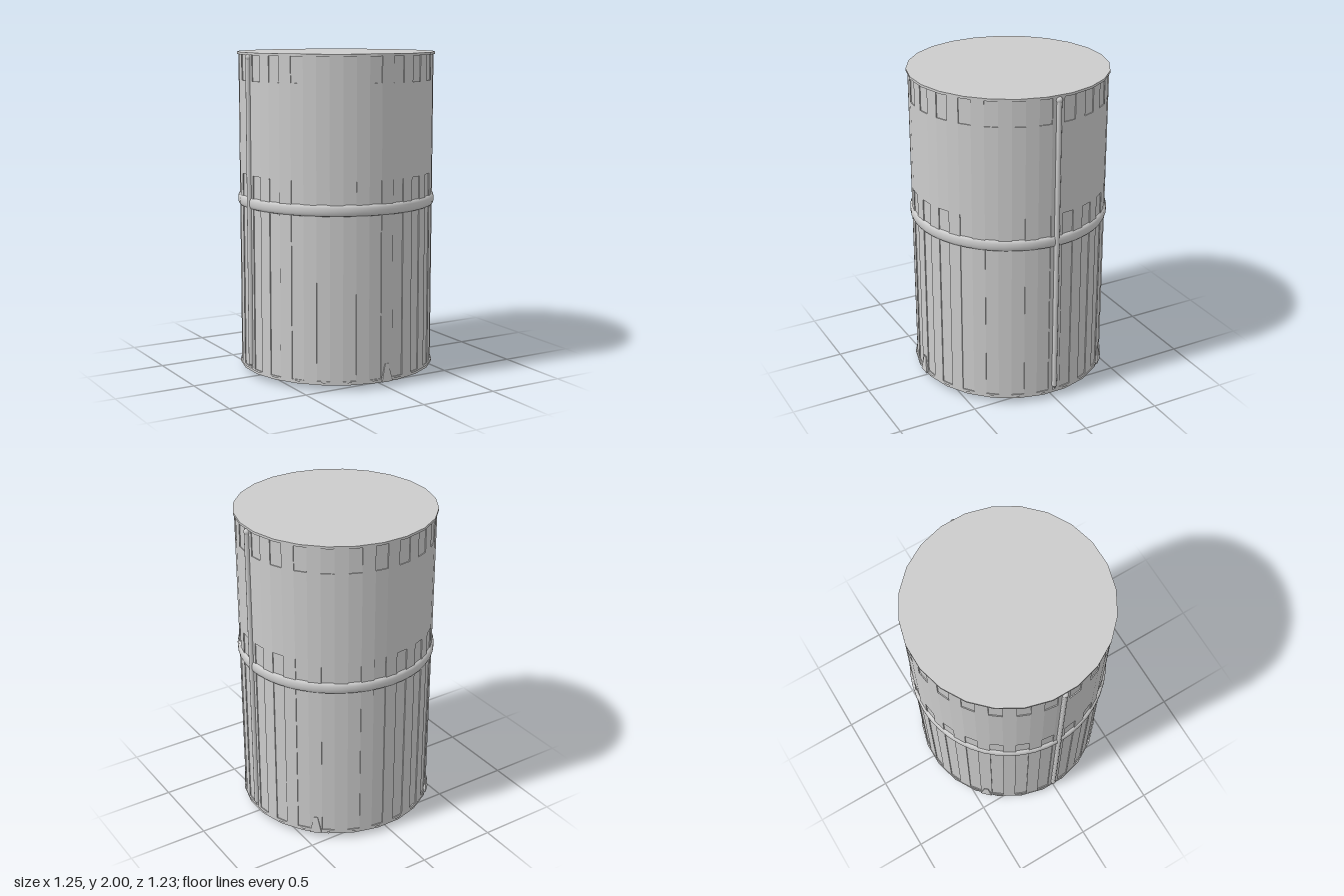
import * as THREE from 'three';

const SIDES = 24;
const STEP = (Math.PI * 2) / SIDES;
const RADIUS = 0.605;

const smooth = new THREE.MeshStandardMaterial({ color: 0xcccccc });
const faceted = new THREE.MeshStandardMaterial({ color: 0xcccccc, flatShading: true });
const thin = new THREE.MeshStandardMaterial({ color: 0xcccccc, flatShading: true, side: THREE.DoubleSide });
const thinSmooth = new THREE.MeshStandardMaterial({ color: 0xcccccc, side: THREE.DoubleSide });

function add(parent, name, geometry, material) {
  const mesh = new THREE.Mesh(geometry, material);
  mesh.name = name;
  parent.add(mesh);
  return mesh;
}

// Drum wall: flat panels with shallow grooves that fade out in the upper middle
function wallGeometry() {
  const d = 0.006;
  const rows = [
    [0.036, 0], [0.055, 0], [0.055, d], [1.26, d], [1.26, 0],
    [1.83, 0], [1.83, d], [1.985, d], [1.985, 0], [1.995, 0],
  ];
  const columns = SIDES * 4;
  const positions = [];
  const indices = [];
  for (const [y, depth] of rows) {
    for (let i = 0; i < SIDES; i++) {
      for (const [offset, grooved] of [[-0.25, 0], [0.25, 0], [0.25, 1], [0.75, 1]]) {
        const angle = (i + offset) * STEP;
        const r = RADIUS - depth * grooved;
        positions.push(r * Math.sin(angle), y, r * Math.cos(angle));
      }
    }
  }
  for (let j = 0; j < rows.length - 1; j++) {
    for (let i = 0; i < columns; i++) {
      const next = (i + 1) % columns;
      const a = j * columns + i;
      const b = j * columns + next;
      indices.push(a, b, b + columns, a, b + columns, a + columns);
    }
  }
  const geometry = new THREE.BufferGeometry();
  geometry.setAttribute('position', new THREE.Float32BufferAttribute(positions, 3));
  geometry.setIndex(indices);
  geometry.computeVertexNormals();
  return geometry;
}

// Small tapered bracket, wide at the foot and leaning into the wall at the top
function bracketGeometry() {
  const geometry = new THREE.BoxGeometry(0.076, 0.11, 0.03);
  const p = geometry.attributes.position;
  for (let i = 0; i < p.count; i++) {
    if (p.getY(i) > 0) {
      p.setX(i, p.getX(i) * 0.3);
      if (p.getZ(i) > 0) p.setZ(i, 0.006);
    }
  }
  geometry.computeVertexNormals();
  return geometry;
}

export function createModel() {
  const model = new THREE.Group();
  model.name = 'tank';
  const body = new THREE.Group();
  body.name = 'body';
  body.position.z = -0.004;
  model.add(body);

  add(body, 'drumWall', wallGeometry(), faceted);

  // Top lid and bottom rim
  const lid = add(body, 'topLid', new THREE.CylinderGeometry(0.614, 0.614, 0.015, SIDES, 1, false, STEP / 2), faceted);
  lid.position.y = 1.9925;
  const rim = add(body, 'bottomRim', new THREE.CylinderGeometry(0.614, 0.614, 0.016, SIDES, 1, true, STEP / 2), thin);
  rim.position.y = 0.043;

  // Shallow conical underside with a flat centre
  const underside = [[0.614, 0.035], [0.595, 0.037], [0.21, 0.072]].map(([x, y]) => new THREE.Vector2(x, y));
  add(body, 'underside', new THREE.LatheGeometry(underside, SIDES, STEP / 2), thinSmooth);
  const centre = add(body, 'undersideCentre', new THREE.CircleGeometry(0.21, SIDES), thin);
  centre.rotation.x = Math.PI / 2;
  centre.position.y = 0.072;

  // Rounded band around the middle
  const band = [[0.597, 1.053], [0.61, 1.058], [0.616, 1.072], [0.617, 1.088], [0.616, 1.104], [0.61, 1.118], [0.597, 1.123]];
  add(body, 'middleBand', new THREE.LatheGeometry(band.map(([x, y]) => new THREE.Vector2(x, y)), 48), smooth);

  // Vertical side pipe, feed line and canister on each side
  for (const side of [-1, 1]) {
    const group = new THREE.Group();
    group.name = side > 0 ? 'leftPlumbing' : 'rightPlumbing';
    body.add(group);

    const pipe = add(group, 'sidePipe', new THREE.CapsuleGeometry(0.016, 1.87, 4, 10), smooth);
    pipe.position.set(side * 0.609, 1.023, 0);
    const knob = add(group, 'pipeEnd', new THREE.SphereGeometry(0.02, 12, 8), smooth);
    knob.position.set(side * 0.607, 1.97, 0);

    const path = new THREE.CatmullRomCurve3([
      new THREE.Vector3(side * 0.609, 0.075, 0),
      new THREE.Vector3(side * 0.585, 0.034, 0),
      new THREE.Vector3(side * 0.47, 0.032, 0),
      new THREE.Vector3(side * 0.34, 0.034, 0),
      new THREE.Vector3(side * 0.22, 0.066, 0),
    ]);
    add(group, 'feedLine', new THREE.TubeGeometry(path, 24, 0.009, 8), smooth);

    const profile = [[0, -0.068], [0.018, -0.068], [0.03, -0.048], [0.03, 0.048], [0.018, 0.068], [0, 0.068]];
    const can = add(group, 'canister', new THREE.LatheGeometry(profile.map(([x, y]) => new THREE.Vector2(x, y)), 12), smooth);
    can.rotation.z = Math.PI / 2;
    can.position.set(side * 0.41, 0.03, 0);
  }

  // Three foot brackets: one in front, two at the back
  for (const degrees of [0, 135, 225]) {
    const pivot = new THREE.Group();
    pivot.name = 'footBracket';
    pivot.rotation.y = THREE.MathUtils.degToRad(degrees);
    body.add(pivot);
    add(pivot, 'bracket', bracketGeometry(), faceted).position.set(0, 0.09, 0.602);
  }

  return model;
}
